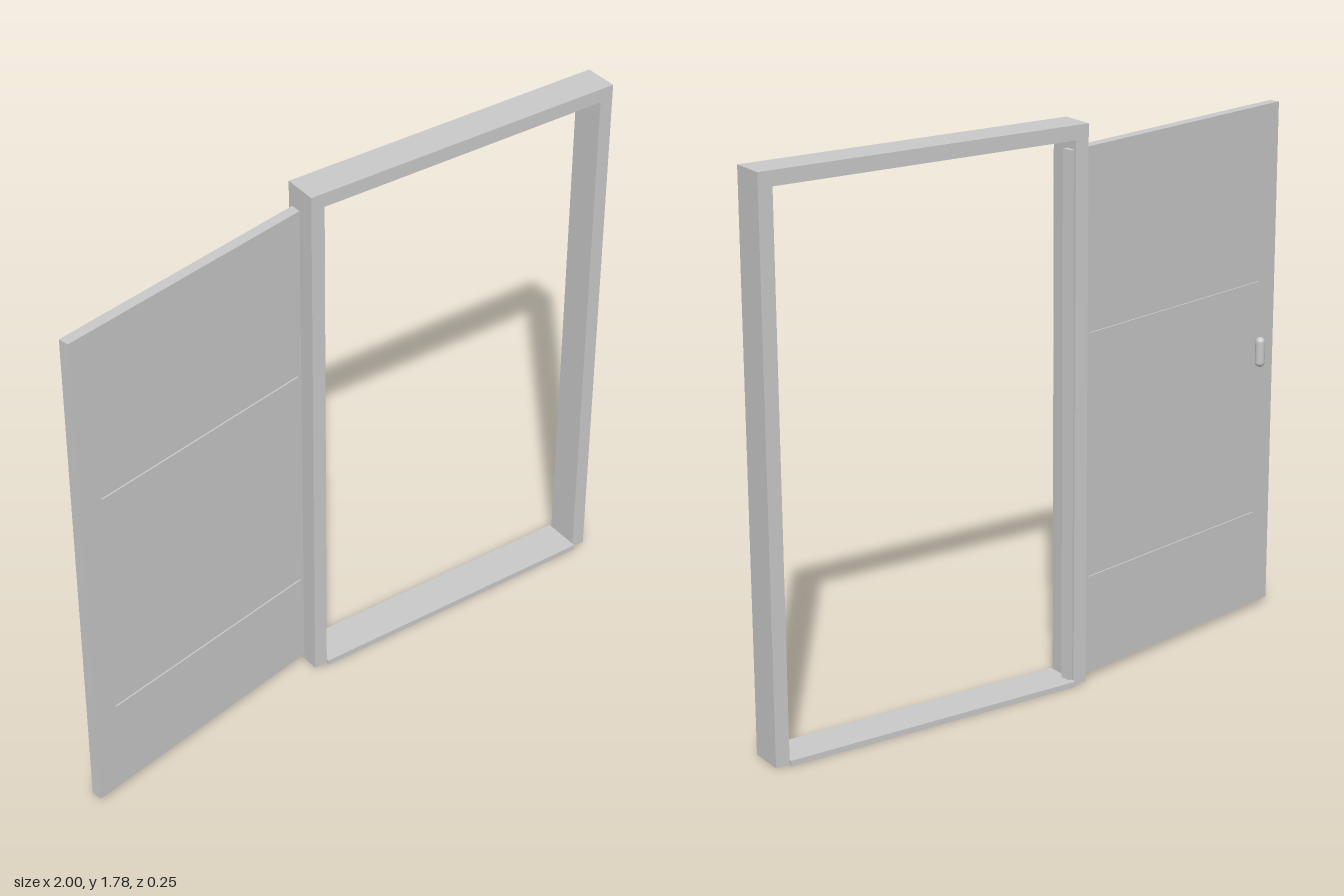
import * as THREE from 'three';

export function createModel() {
  const model = new THREE.Group();
  model.name = 'openDoor';
  const grey = new THREE.MeshStandardMaterial({ color: 0xc8c8c8 });
  grey.name = 'light grey';

  // Box given by its lower and upper corners
  function box(parent, name, [x0, y0, z0], [x1, y1, z1]) {
    const mesh = new THREE.Mesh(new THREE.BoxGeometry(x1 - x0, y1 - y0, z1 - z0), grey);
    mesh.position.set((x0 + x1) / 2, (y0 + y1) / 2, (z0 + z1) / 2);
    mesh.name = name;
    parent.add(mesh);
  }

  // Frame: two jambs and a head in one extruded outline, open at the bottom
  const left = -0.11, right = 1, top = 1.785, bottom = 0.003, width = 0.046;
  const back = -0.115, front = -0.001;
  const outline = new THREE.Shape([
    [left, bottom], [left + width, bottom], [left + width, top - width],
    [right - width, top - width], [right - width, bottom], [right, bottom],
    [right, top], [left, top],
  ].map(([x, y]) => new THREE.Vector2(x, y)));
  const frame = new THREE.Mesh(
    new THREE.ExtrudeGeometry(outline, { depth: front - back, bevelEnabled: false }), grey);
  frame.position.z = back;
  frame.name = 'frame';
  model.add(frame);

  // Threshold, a little deeper than the frame
  box(model, 'threshold', [left + width, 0, -0.125], [right - width, 0.018, 0.009]);

  // Door leaf, swung open; local x runs from the free edge to the hinge edge
  const length = 0.969, thickness = 0.035;
  const door = new THREE.Group();
  door.name = 'door';
  door.position.set(-0.993, 0, 0.126);
  door.rotation.y = THREE.MathUtils.degToRad(12);
  model.add(door);
  box(door, 'leaf', [0, 0.02, -thickness], [length, 1.71, 0]);

  // Crossbars standing slightly proud of both faces
  for (const y of [0.288, 1.078]) {
    box(door, 'crossbar', [0.083, y, -thickness - 0.005], [length - 0.083, y + 0.057, 0.005]);
  }

  // Upright handle set off the back face
  const handle = new THREE.Mesh(new THREE.CapsuleGeometry(0.016, 0.068, 8, 24), grey);
  handle.position.set(-0.902, 0.91, 0.034);
  handle.name = 'handle';
  model.add(handle);

  return model;
}
